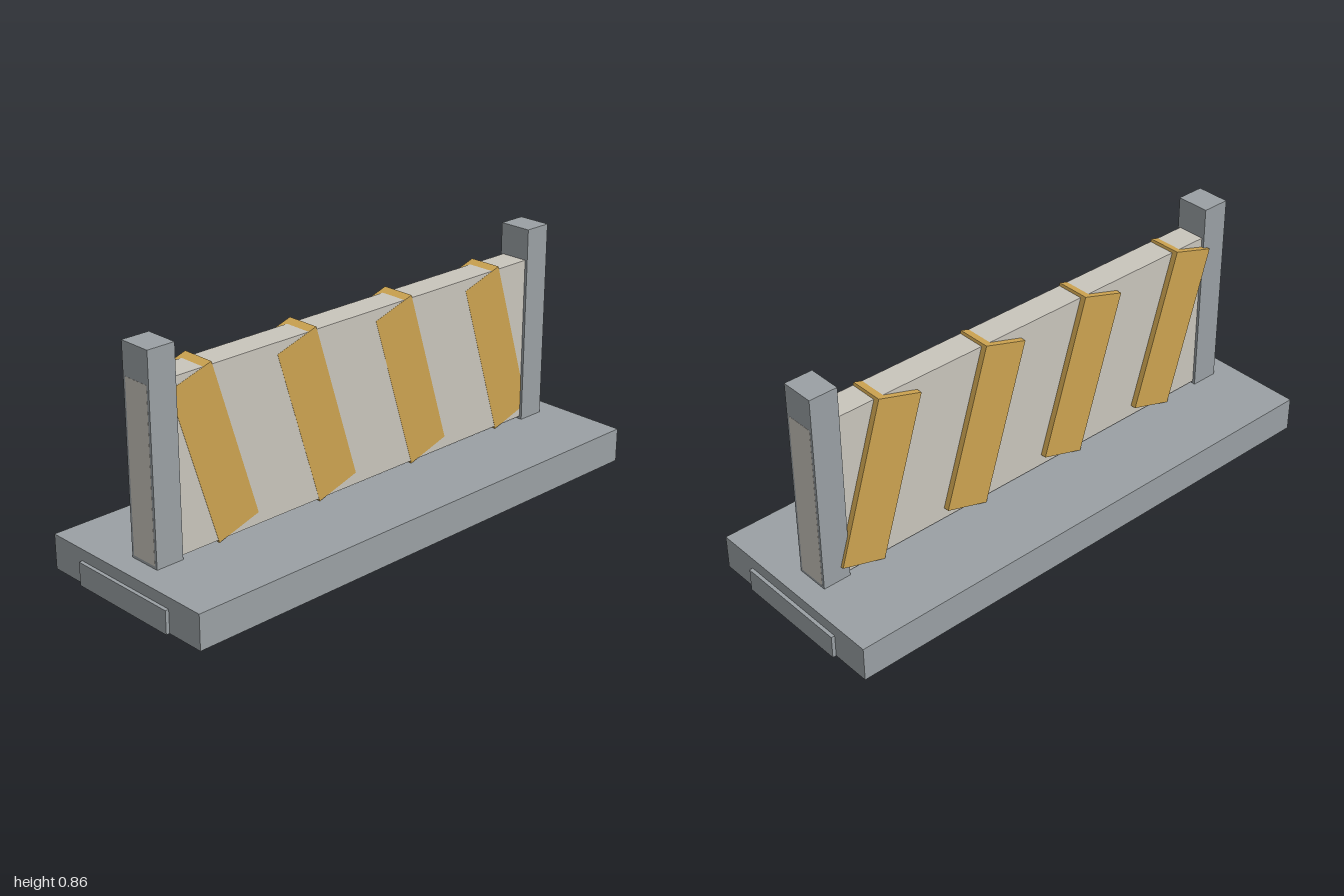
import * as THREE from 'three';

function material(name, color) {
  const m = new THREE.MeshStandardMaterial({ color });
  m.name = name;
  return m;
}

export function createModel() {
  const model = new THREE.Group();
  model.name = 'barrier';
  const concrete = material('concrete grey', 0x9aa0a4);
  const cream = material('panel cream', 0xc9c5bc);
  const amber = material('stripe amber', 0xcca350);

  // Box given by its size and centre
  function box(name, mat, [w, h, d], [x, y, z]) {
    const mesh = new THREE.Mesh(new THREE.BoxGeometry(w, h, d), mat);
    mesh.name = name;
    mesh.position.set(x, y, z);
    model.add(mesh);
    return mesh;
  }

  // Heavy base slab
  box('base', concrete, [1.974, 0.126, 0.73], [0, 0.063, 0]);

  // End plates and posts, mirrored
  for (const side of [1, -1]) {
    const label = side > 0 ? 'left' : 'right';
    box(label + 'EndPlate', concrete, [0.04, 0.084, 0.437], [side * 0.98, 0.042, 0]);
    box(label + 'Post', concrete, [0.104, 0.73, 0.124], [side * 0.853, 0.491, 0]);
  }

  // Panel running through both posts, its ends just showing on the outside
  const panelFront = 0.052;
  box('panel', cream, [1.811, 0.605, panelFront * 2], [0, 0.4385, 0]);

  // Slanted stripes set through the panel, standing out at the back
  const front = panelFront + 0.0006, back = -0.073;
  for (let i = 0; i < 4; i++) {
    const x = 0.0065 + (i - 1.5) * 0.4375;
    const stripe = box('stripe' + (i + 1), amber,
      [0.175, 0.6, front - back], [x, 0.4385, (front + back) / 2]);
    stripe.rotation.z = 0.3;
  }

  return model;
}
